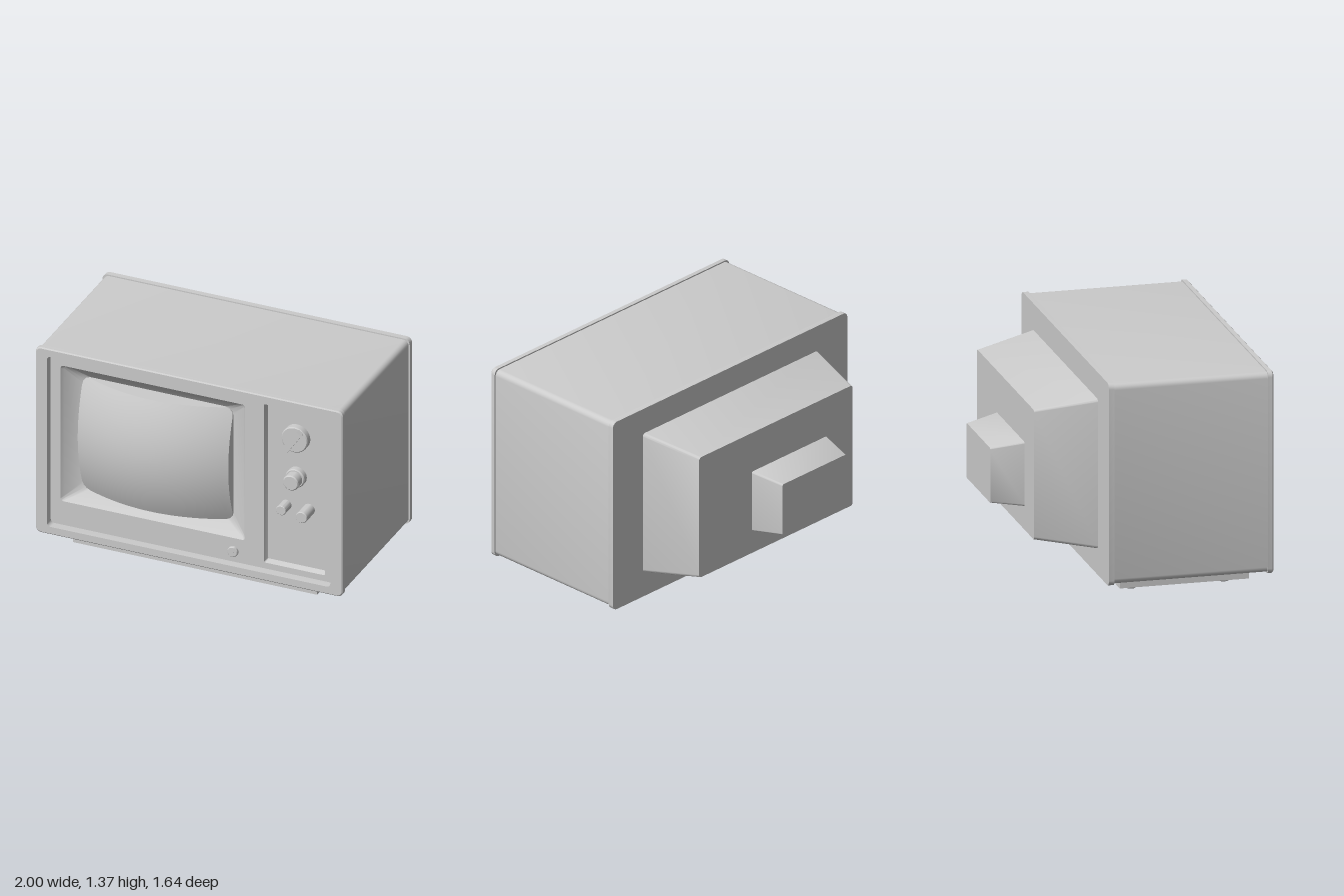
import * as THREE from 'three';
import { toCreasedNormals } from 'three/addons/utils/BufferGeometryUtils.js';

const grey = new THREE.MeshStandardMaterial({ color: 0xcccccc });

// Counter-clockwise rounded rectangle, drawn on a Shape or a Path
function roundRect(x0, y0, x1, y1, r, Type = THREE.Shape) {
  const s = new Type();
  s.absarc(x1 - r, y0 + r, r, -Math.PI / 2, 0);
  s.absarc(x1 - r, y1 - r, r, 0, Math.PI / 2);
  s.absarc(x0 + r, y1 - r, r, Math.PI / 2, Math.PI);
  s.absarc(x0 + r, y0 + r, r, Math.PI, Math.PI * 1.5);
  s.closePath();
  return s;
}

// Four-cornered ring with five steps per corner, at depth z
function ring([x0, y0, x1, y1, r, z]) {
  const pts = [];
  const centres = [[x1 - r, y0 + r], [x1 - r, y1 - r], [x0 + r, y1 - r], [x0 + r, y0 + r]];
  centres.forEach(([cx, cy], c) => {
    for (let i = 0; i <= 5; i++) {
      const a = (c - 1 + i / 5) * Math.PI / 2;
      pts.push(new THREE.Vector3(cx + r * Math.cos(a), cy + r * Math.sin(a), z));
    }
  });
  return pts;
}

// Skin through rings of equal point count, with optional end caps
function skin(rings, capStart, capEnd, crease = 0.6) {
  const n = rings[0].length, pos = [], index = [];
  rings.forEach(pts => pts.forEach(p => pos.push(p.x, p.y, p.z)));
  for (let k = 0; k < rings.length - 1; k++) {
    for (let i = 0; i < n; i++) {
      const a = k * n + i, b = k * n + (i + 1) % n;
      index.push(a, b, b + n, a, b + n, a + n);
    }
  }
  const last = (rings.length - 1) * n;
  for (let i = 1; i < n - 1; i++) {
    if (capStart) index.push(0, i + 1, i);
    if (capEnd) index.push(last, last + i, last + i + 1);
  }
  const g = new THREE.BufferGeometry();
  g.setAttribute('position', new THREE.Float32BufferAttribute(pos, 3));
  g.setIndex(index);
  return toCreasedNormals(g, crease);
}

export function createModel() {
  const model = new THREE.Group();
  const add = (name, geometry, parent = model) => {
    const mesh = new THREE.Mesh(geometry, grey);
    mesh.name = name;
    parent.add(mesh);
    return mesh;
  };
  const loft = (name, rects, capStart, capEnd) => add(name, skin(rects.map(ring), capStart, capEnd));

  // Cabinet shell: raised rims at both ends and a recessed front opening
  const rim = z => [-1, 0.113, 1, 1.37, 0.035, z];
  const wall = z => [-0.992, 0.121, 0.992, 1.362, 0.035, z];
  const mouth = z => [-0.925, 0.165, 0.92, 1.32, 0.025, z];
  loft('cabinet', [
    rim(-0.25), rim(-0.215), wall(-0.215), wall(0.73), rim(0.73), rim(0.758),
    [-0.993, 0.12, 0.993, 1.363, 0.03, 0.765], mouth(0.765), mouth(0.71),
  ], true, false);

  // Front panel with openings for the screen and the controls
  const face = roundRect(-0.925, 0.165, 0.92, 1.32, 0.025);
  face.holes.push(
    roundRect(-0.86, 0.325, 0.34, 1.245, 0.02, THREE.Path),
    roundRect(0.465, 0.205, 0.86, 1.28, 0.006, THREE.Path));
  add('frontPanel', new THREE.ShapeGeometry(face, 5)).position.z = 0.71;

  // Sloping screen surround
  loft('screenBezel', [
    [-0.86, 0.325, 0.34, 1.245, 0.02, 0.71],
    [-0.845, 0.335, 0.325, 1.235, 0.02, 0.69],
    [-0.75, 0.4, 0.23, 1.16, 0.05, 0.63],
  ], false, true);

  // Domed picture tube: shrinking outlines lifted onto a curved surface
  const cx = -0.26, cy = 0.78;
  const outline = roundRect(-0.49, -0.38, 0.49, 0.38, 0.05).getSpacedPoints(120).slice(0, -1);
  const dome = [outline.map(p => new THREE.Vector3(cx + p.x, cy + p.y, 0.6))];
  for (let k = 0; k <= 14; k++) {
    const t = 1 - k / 14;
    dome.push(outline.map(p => {
      const x = p.x * t, y = p.y * t;
      return new THREE.Vector3(cx + x, cy + y, 0.825 - 0.49 * x * x - 0.6 * y * y);
    }));
  }
  add('screen', skin(dome, false, false, 0.7));

  // Recessed control panel
  loft('controlPanel', [
    [0.465, 0.205, 0.86, 1.28, 0.006, 0.71],
    [0.475, 0.218, 0.85, 1.265, 0.006, 0.675],
  ], false, true);

  // Knobs: cylinders along z with a softly chamfered front edge
  const knob = (name, x, y, r, z0, z1, grip = 0) => {
    const group = new THREE.Group();
    group.name = name;
    group.position.set(x, y, 0);
    const c = Math.min(0.006, r * 0.12);
    const profile = [[0, z0], [r, z0], [r, z1 - c], [r - c, z1], [0, z1]]
      .map(([a, b]) => new THREE.Vector2(a, b));
    const g = toCreasedNormals(new THREE.LatheGeometry(profile, 32).rotateX(Math.PI / 2), 0.6);
    add(name + 'Body', g, group);
    if (grip) {
      const bar = add(name + 'Grip', new THREE.BoxGeometry(r * 1.9, r * 0.42, grip), group);
      bar.position.z = z1 + grip / 2 - 0.001;
      bar.rotation.z = 0.97;
    }
    model.add(group);
  };
  knob('channelKnob', 0.665, 1.085, 0.085, 0.67, 0.72, 0.04);
  knob('tuningCollar', 0.665, 0.82, 0.062, 0.67, 0.715);
  knob('tuningKnob', 0.665, 0.82, 0.05, 0.67, 0.777);
  knob('smallKnob', 0.595, 0.61, 0.032, 0.67, 0.76);
  knob('volumeKnob', 0.742, 0.61, 0.037, 0.67, 0.79);
  knob('powerKnob', 0.265, 0.238, 0.033, 0.7, 0.728, 0.015);

  // Stepped rear housing
  loft('rearHousing', [
    [-0.665, 0.335, 0.645, 1.14, 0.02, -0.62],
    [-0.75, 0.275, 0.745, 1.205, 0.02, -0.25],
  ], true, false);
  loft('rearTubeCover', [
    [-0.405, 0.505, 0.14, 0.845, 0.012, -0.82],
    [-0.445, 0.48, 0.195, 0.88, 0.012, -0.62],
  ], true, false);

  // Plinth and rounded feet
  add('plinth', new THREE.BoxGeometry(1.59, 0.09, 0.795)).position.set(-0.005, 0.08, 0.268);
  const footProfile = [[0, 0], [0.028, 0], [0.036, 0.005], [0.041, 0.014], [0.041, 0.037]]
    .map(([a, b]) => new THREE.Vector2(a, b));
  const footGeometry = new THREE.LatheGeometry(footProfile, 24);
  for (const x of [-0.68, 0.675]) {
    for (const z of [-0.03, 0.54]) add('foot', footGeometry).position.set(x, 0, z);
  }
  return model;
}
